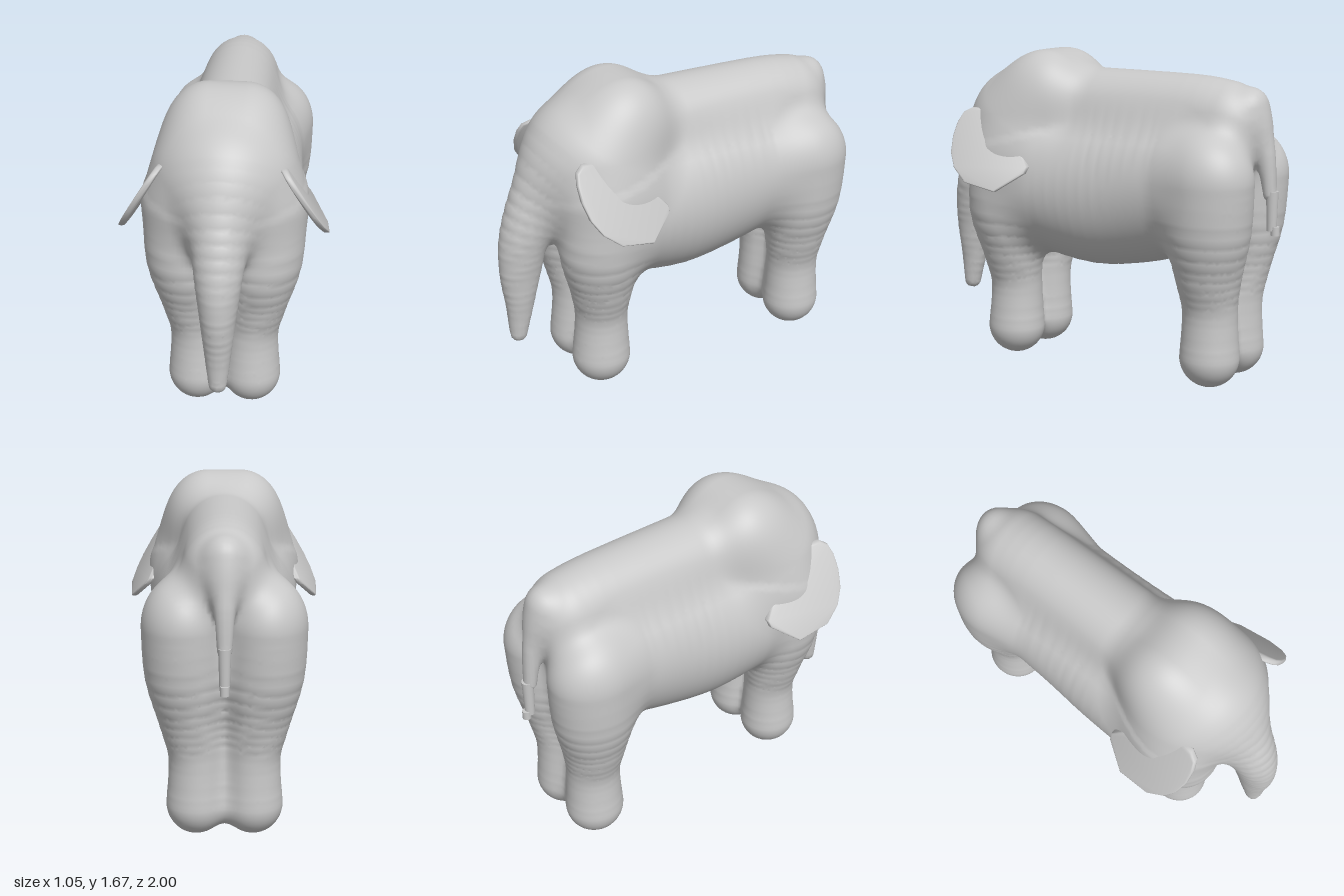
import * as THREE from 'three';
import { mergeVertices, toCreasedNormals } from 'three/addons/utils/BufferGeometryUtils.js';

const hide = new THREE.MeshStandardMaterial({ color: 0xc8c8c8 });
hide.name = 'grey hide';

// Each limb is a chain of ellipsoids: [x, y, z, rx, ry, rz]; k is the softness of its join.
const frontLeg = [
  [.14, .155, .51, .15, .155, .155], [.142, .4, .505, .135, .15, .139],
  [.165, .6, .51, .162, .17, .17], [.19, .83, .515, .205, .2, .222], [.2, 1.08, .48, .207, .2, .23]];
const hindLeg = [
  [.14, .155, -.69, .15, .155, .155], [.142, .4, -.69, .135, .15, .143],
  [.165, .6, -.69, .16, .17, .175], [.19, .83, -.695, .2, .2, .225], [.2, 1.06, -.695, .204, .25, .242]];
const mirror = (chain) => chain.map(([x, ...rest]) => [-x, ...rest]);

// Refine a chain with a smooth curve through its points
function smooth(chain, steps = 4) {
  const at = (i) => chain[Math.max(0, Math.min(chain.length - 1, i))];
  const out = [chain[0]];
  for (let i = 0; i + 1 < chain.length; i++)
    for (let s = 1; s <= steps; s++) {
      const t = s / steps;
      out.push(at(i).map((p1, j) => {
        const p0 = at(i - 1)[j], p2 = at(i + 1)[j], p3 = at(i + 2)[j];
        return p1 + t / 2 * (p2 - p0 + t * (2 * p0 - 5 * p1 + 4 * p2 - p3 + t * (3 * (p1 - p2) + p3 - p0)));
      }));
    }
  return out;
}

const limbs = [
  { name: 'body', k: .06, chain: smooth([
    [0, .97, .27, .395, .4, .35], [0, .965, .03, .38, .43, .3], [0, .99, -.22, .362, .42, .3],
    [0, 1.02, -.47, .355, .38, .3]]) },
  { name: 'back', k: .1, chain: smooth([
    [0, 1.36, .1, .22, .222, .2], [0, 1.345, -.5, .208, .23, .22], [0, 1.325, -.69, .205, .23, .225]]) },
  { name: 'leftFrontLeg', k: .1, chain: smooth(frontLeg) },
  { name: 'rightFrontLeg', k: .06, chain: smooth(mirror(frontLeg)) },
  { name: 'leftHindLeg', k: .1, chain: smooth(hindLeg) },
  { name: 'rightHindLeg', k: .1, chain: smooth(mirror(hindLeg)) },
  { name: 'head', k: .1, chain: [[0, 1.19, .44, .385, .38, .37], [0, 1.23, .45, .375, .365, .365]] },
  { name: 'crown', k: .1, chain: [[-.09, 1.435, .33, .215, .236, .235], [.09, 1.435, .33, .215, .236, .235]] },
  { name: 'trunk', k: .1, chain: smooth([
    [0, 1.3, .58, .2, .2, .2], [0, 1.12, .735, .155, .16, .165], [0, .9, .853, .12, .12, .13],
    [0, .7, .888, .092, .1, .112], [0, .5, .902, .068, .08, .075], [0, .325, .918, .046, .046, .046]]) },
  { name: 'tail', k: .05, chain: smooth([
    [0, 1.42, -.84, .09, .1, .08], [0, 1.2, -.915, .052, .055, .048], [0, 1.0, -.942, .036, .037, .033]]) }
];

// Approximate distance from a point to a chain of blended ellipsoids.
function chainDistance(chain, x, y, z) {
  let best = Infinity;
  for (let i = 0; i + 1 < chain.length; i++) {
    const a = chain[i], b = chain[i + 1];
    const dx = b[0] - a[0], dy = b[1] - a[1], dz = b[2] - a[2];
    let t = ((x - a[0]) * dx + (y - a[1]) * dy + (z - a[2]) * dz) / (dx * dx + dy * dy + dz * dz);
    t = Math.min(1, Math.max(0, t));
    const rx = a[3] + (b[3] - a[3]) * t, ry = a[4] + (b[4] - a[4]) * t, rz = a[5] + (b[5] - a[5]) * t;
    const px = (x - a[0] - dx * t) / rx, py = (y - a[1] - dy * t) / ry, pz = (z - a[2] - dz * t) / rz;
    const k0 = Math.sqrt(px * px + py * py + pz * pz);
    const k1 = Math.sqrt((px / rx) ** 2 + (py / ry) ** 2 + (pz / rz) ** 2);
    best = Math.min(best, k1 < 1e-6 ? -Math.min(rx, ry, rz) : k0 * (k0 - 1) / k1);
  }
  return best;
}

// Smooth union of all limbs.
function field(x, y, z) {
  let d = 10;
  for (const { chain, k } of limbs) {
    const e = chainDistance(chain, x, y, z);
    const h = Math.max(0, k - Math.abs(d - e)) / k;
    d = Math.min(d, e) - h * h * k / 4;
  }
  return d;
}

function gradient(x, y, z) {
  const e = .006;
  return new THREE.Vector3(
    field(x + e, y, z) - field(x - e, y, z),
    field(x, y + e, z) - field(x, y - e, z),
    field(x, y, z + e) - field(x, y, z - e)).divideScalar(2 * e);
}

// Skin the smooth union with a net of quads and share the quads out among the limbs.
function buildSkin() {
  const step = .022, low = [-.495, -.055, -1.06], size = [46, 82, 98];
  const stride = [1, size[0], size[0] * size[1]];
  const values = new Float32Array(size[0] * size[1] * size[2]);
  const eachCell = (from, fn) => {
    for (let k = from; k < size[2] - 1; k++)
      for (let j = from; j < size[1] - 1; j++)
        for (let i = from; i < size[0] - 1; i++) fn(i, j, k, i + j * stride[1] + k * stride[2]);
  };
  for (let k = 0, n = 0; k < size[2]; k++)
    for (let j = 0; j < size[1]; j++)
      for (let i = 0; i < size[0]; i++)
        values[n++] = field(low[0] + i * step, low[1] + j * step, low[2] + k * step);

  // One point per cell that the surface crosses, pulled onto the surface
  const points = new Map();
  eachCell(0, (i, j, k, cell) => {
    const sum = new THREE.Vector3();
    let count = 0;
    for (let c = 0; c < 8; c++) for (let a = 0; a < 3; a++) {
      if (c >> a & 1) continue;
      const bits = [c & 1, c >> 1 & 1, c >> 2 & 1];
      const at = cell + bits[0] + bits[1] * stride[1] + bits[2] * stride[2];
      const f = values[at], g = values[at + stride[a]];
      if (f < 0 === g < 0) continue;
      bits[a] += f / (f - g);
      sum.add(new THREE.Vector3(...bits));
      count++;
    }
    if (!count) return;
    const p = sum.divideScalar(count).add(new THREE.Vector3(i, j, k)).multiplyScalar(step)
      .add(new THREE.Vector3(...low));
    for (let n = 0; n < 2; n++) {
      const g = gradient(p.x, p.y, p.z);
      const move = -field(p.x, p.y, p.z) / Math.max(.3, g.lengthSq());
      p.addScaledVector(g, Math.max(-.01, Math.min(.01, move)));
    }
    points.set(cell, { p, n: gradient(p.x, p.y, p.z).normalize() });
  });

  // One quad around every grid edge that the surface crosses
  const quads = limbs.map(() => []);
  eachCell(1, (i, j, k, cell) => {
    for (let a = 0; a < 3; a++) {
      const inside = values[cell] < 0;
      if (inside === values[cell + stride[a]] < 0) continue;
      const b = stride[(a + 1) % 3], c = stride[(a + 2) % 3];
      const quad = [cell - b - c, cell - c, cell, cell - b];
      if (!inside) quad.reverse();
      const { p } = points.get(cell);
      const near = limbs.map(({ chain }) => chainDistance(chain, p.x, p.y, p.z));
      quads[near.indexOf(Math.min(...near))].push(quad);
    }
  });

  return limbs.map(({ name }, l) => {
    const position = [], normal = [], index = [], used = new Map();
    const vertex = (cell) => {
      if (!used.has(cell)) {
        const { p, n } = points.get(cell);
        used.set(cell, used.size);
        position.push(p.x, p.y, p.z);
        normal.push(n.x, n.y, n.z);
      }
      return used.get(cell);
    };
    for (const quad of quads[l]) {
      const [a, b, c, d] = quad.map(vertex);
      index.push(a, b, c, a, c, d);
    }
    const geometry = new THREE.BufferGeometry();
    geometry.setAttribute('position', new THREE.Float32BufferAttribute(position, 3));
    geometry.setAttribute('normal', new THREE.Float32BufferAttribute(normal, 3));
    geometry.setIndex(index);
    return part(name, geometry);
  });
}

function part(name, geometry) {
  const mesh = new THREE.Mesh(geometry, hide);
  mesh.name = name;
  return mesh;
}

// Flat ear drawn in (z, y), then leaned outwards towards its lower front edge
function ear(name, side) {
  const outline = [[.6, 1.35], [.33, 1.175], [.255, 1.085], [.26, 1.06], [.385, .97], [.56, 1.005], [.645, 1.07],
    [.69, 1.14], [.71, 1.22], [.71, 1.29], [.695, 1.335], [.66, 1.355]];
  const shape = new THREE.Shape(outline.map(([z, y]) => new THREE.Vector2(z, y)));
  let geometry = new THREE.ExtrudeGeometry(shape,
    { depth: .012, bevelThickness: .012, bevelSize: .009, bevelSegments: 3 });
  geometry.deleteAttribute('normal');
  geometry.deleteAttribute('uv');
  geometry = mergeVertices(geometry);
  const pos = geometry.attributes.position;
  for (let i = 0; i < pos.count; i++) {
    const z = pos.getX(i), y = pos.getY(i), w = pos.getZ(i);
    pos.setXYZ(i, side * (.255 + w + (1.365 - y) * .62 + (z - .45) * .18), y, z);
  }
  if (side > 0) geometry.setIndex(Array.from(geometry.index.array).reverse());
  return part(name, toCreasedNormals(geometry, .9));
}

export function createModel() {
  const group = new THREE.Group();
  group.name = 'elephant';
  group.add(...buildSkin(), ear('leftEar', 1), ear('rightEar', -1));

  // Thin end of the tail and its tip
  const tailEnd = part('tailEnd', new THREE.CylinderGeometry(.031, .025, .2, 16));
  tailEnd.position.set(0, .915, -.956);
  const tailTip = part('tailTip', new THREE.CylinderGeometry(.022, .022, .045, 16));
  tailTip.position.set(0, .815, -.976);
  group.add(tailEnd, tailTip);
  return group;
}
